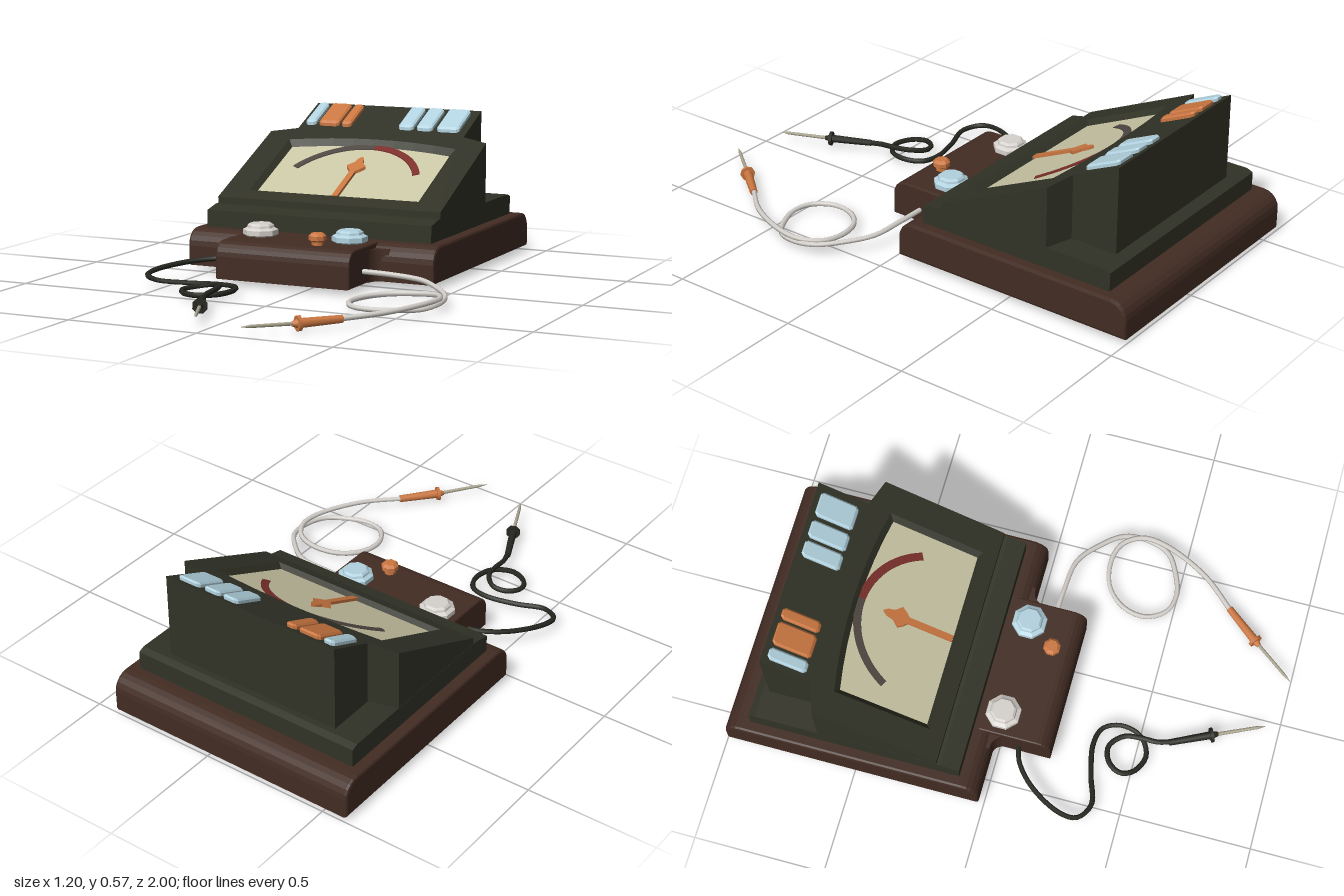
import * as THREE from 'three';

const paint = (name, color) => Object.assign(new THREE.MeshStandardMaterial({ color }), { name });
const M = {
  brown: paint('brown case', 0x422c23),
  dark: paint('dark olive housing', 0x313226),
  cream: paint('cream dial', 0xc9c5a4),
  orange: paint('orange', 0xcb7741),
  blue: paint('pale blue', 0xb2d2df),
  white: paint('off white', 0xd6d2cd),
  red: paint('dark red', 0x7b2f2b),
  grey: paint('warm grey', 0x4f4742),
  black: paint('black cable', 0x25271f),
  metal: paint('probe metal', 0xaaa58f),
};
const CX = -0.09; // centre line of the instrument
const slope = z => 0.27 + (-0.185 - z) * 0.455;

const flat = geo => {
  const g = geo.index ? geo.toNonIndexed() : geo;
  g.computeVertexNormals();
  return g;
};

// Outline given as [x, z] points seen from above
const plan = pts => new THREE.Shape(pts.map(([x, z]) => new THREE.Vector2(x, -z)));

// Extrudes a plan outline upwards from y = 0
const raise = (shape, depth, opts = {}) =>
  new THREE.ExtrudeGeometry(shape, { depth, bevelEnabled: false, curveSegments: 8, ...opts }).rotateX(-Math.PI / 2);

// Moves each vertex of a geometry by a rule
function warp(geo, rule) {
  const p = geo.attributes.position, v = new THREE.Vector3();
  for (let i = 0; i < p.count; i++) {
    rule(v.fromBufferAttribute(p, i));
    p.setXYZ(i, v.x, v.y, v.z);
  }
  return flat(geo);
}
const onSlope = (geo, lift) => warp(geo, v => { v.y += slope(v.z) + lift; });

// Extrudes a side profile ([z, y] points) from x0 to x1
function across(pts, x0, x1, bevel) {
  const s = new THREE.Shape(pts.map(([z, y]) => new THREE.Vector2(-z, y)));
  return new THREE.ExtrudeGeometry(s, {
    depth: x1 - x0 - 2 * bevel, bevelEnabled: bevel > 0, bevelSize: bevel,
    bevelThickness: bevel, bevelOffset: -bevel, bevelSegments: 2,
  }).rotateY(Math.PI / 2).translate(x0 + bevel, 0, 0);
}

// Block profile with rounded top edges at back and front
function roundedProfile(back, front, y0, y1, r) {
  const pts = [[back, y0], [front, y0]];
  for (let i = 0; i <= 5; i++) {
    const a = i / 5 * Math.PI / 2;
    pts.push([front - r + r * Math.cos(a), y1 - r + r * Math.sin(a)]);
  }
  for (let i = 0; i <= 5; i++) {
    const a = Math.PI / 2 * (1 + i / 5);
    pts.push([back + r + r * Math.cos(a), y1 - r + r * Math.sin(a)]);
  }
  return pts.reverse();
}

export function createModel() {
  const root = new THREE.Group();
  const add = (name, geo, mat, parent = root) => {
    const m = new THREE.Mesh(geo, mat);
    m.name = name;
    parent.add(m);
    return m;
  };

  // Base with a narrower control shelf in front
  add('base', across(roundedProfile(-1, -0.02, 0.025, 0.165, 0.065), -0.6, 0.42, 0.01), M.brown);
  add('controlShelf', across(roundedProfile(-0.3, 0.195, 0.025, 0.165, 0.055), -0.365, 0.18, 0.006), M.brown);
  for (const s of [-1, 1]) {
    const x = CX + s * 0.27, f = new THREE.Shape();
    f.moveTo(x, 0.08);
    f.lineTo(x + s * 0.06, 0.08);
    f.lineTo(x + s * 0.06, 0.025);
    f.quadraticCurveTo(x + s * 0.004, 0.025, x, -0.03);
    add('shelfFillet', raise(f, 0.12).translate(0, 0.025, 0), M.brown);
  }

  // Low plinth under the housing
  add('plinth', across([[-0.905, 0.16], [-0.905, 0.235], [-0.88, 0.245], [-0.17, 0.245],
    [-0.10, 0.23], [-0.10, 0.16]], -0.558, 0.377, 0), M.dark);

  // Sloping housing with a tapered dial opening
  const opening = [];
  for (let i = 0; i <= 8; i++) {
    const t = i / 4 - 1;
    opening.push([CX + t * 0.36, -0.59 - 0.033 * (1 - t * t)]);
  }
  opening.push([CX + 0.36, -0.24], [CX - 0.36, -0.24]);
  const half = [[0.467, -0.185], [0.467, -0.64], [0.36, -0.672], [0.36, -0.857]];
  const housing = plan([...half.map(([x, z]) => [CX + x, z]),
    ...half.map(([x, z]) => [CX - x, z]).reverse()]);
  housing.holes.push(new THREE.Path(opening.map(([x, z]) => new THREE.Vector2(x, -z))));
  const narrow = (v, kx, kz) => {
    v.x = CX + (v.x - CX) * kx;
    v.z = -0.42 + (v.z + 0.42) * kz;
  };
  add('housing', warp(raise(housing, 1), v => {
    const inHole = Math.abs(v.x - CX) < 0.365 && v.z > -0.63 && v.z < -0.2;
    if (v.y > 0.5) v.y = slope(v.z);
    else if (inHole) {
      narrow(v, 0.94, 0.91);
      v.y = slope(v.z) - 0.024;
    } else v.y = 0.2;
  }), M.dark);

  // Dial face
  const face = raise(plan(opening), 0.006);
  warp(face, v => narrow(v, 0.95, 0.92));
  add('dialFace', onSlope(face, -0.028), M.cream);

  // Curved scale, grey on the low side and red on the high side
  const band = (a0, a1) => {
    const s = new THREE.Shape();
    s.absarc(CX, 0.312, 0.302, a0, a1, true);
    s.absarc(CX, 0.312, 0.274, a1, a0, false);
    return onSlope(raise(s, 0.004, { curveSegments: 20 }), -0.021);
  };
  const lo = Math.PI / 2 + 1.11, mid = Math.PI / 2 - 0.05, hi = Math.PI / 2 - 1.11;
  add('lowScale', band(lo, mid), M.grey);
  add('highScale', band(mid, hi), M.red);

  // Needle with a spade tip
  const needle = [[0.012, -0.255], [0.012, -0.42], [0.025, -0.432], [0.04, -0.452], [0.018, -0.475], [0.012, -0.5]];
  add('needle', onSlope(raise(plan([...needle.map(([x, z]) => [CX + x, z]), [CX, -0.515],
    ...needle.map(([x, z]) => [CX - x, z]).reverse()]), 0.012), -0.018), M.orange);

  // Chamfered push buttons along the top
  for (const [x0, x1, mat] of [[-0.43, -0.385, M.blue], [-0.372, -0.283, M.orange], [-0.272, -0.229, M.orange],
    [-0.022, 0.042, M.blue], [0.056, 0.124, M.blue], [0.143, 0.237, M.blue]]) {
    const c = 0.01, z0 = -0.835, z1 = -0.697;
    const s = plan([[x0 + c, z1], [x1 - c, z1], [x1, z1 - c], [x1, z0 + c],
      [x1 - c, z0], [x0 + c, z0], [x0, z0 + c], [x0, z1 - c]]);
    const g = raise(s, 0.02, { bevelEnabled: true, bevelSize: 0.007, bevelThickness: 0.007, bevelOffset: -0.007, bevelSegments: 1 });
    add('button', onSlope(g, -0.008), mat);
  }

  // Eight-sided knobs on the shelf
  const knob = (name, x, z, mat, profile) => add(name,
    flat(new THREE.LatheGeometry(profile.map(p => new THREE.Vector2(...p)), 8, Math.PI / 8)).translate(x, 0.162, z), mat);
  const wide = [[0.056, 0], [0.067, 0.008], [0.067, 0.026], [0.052, 0.034], [0.05, 0.042], [0.042, 0.049], [0, 0.049]];
  knob('whiteKnob', -0.28, -0.008, M.white, wide);
  knob('blueKnob', 0.09, -0.008, M.blue, wide);
  knob('orangeKnob', 0.01, 0.1, M.orange,
    [[0.022, 0], [0.022, 0.015], [0.033, 0.022], [0.033, 0.038], [0.022, 0.048], [0, 0.048]]);

  // Test leads: cable, handle, collar and pointed tip
  const up = new THREE.Vector3(0, 1, 0);
  const rod = (name, a, b, r0, r1, mat, parent) => {
    const d = b.clone().sub(a);
    const m = add(name, new THREE.CylinderGeometry(r1, r0, d.length(), 8), mat, parent);
    m.position.copy(a).addScaledVector(d, 0.5);
    m.quaternion.setFromUnitVectors(up, d.normalize());
  };
  function lead(name, path, cableMat, gripMat, grip, collar, tip, r) {
    const g = new THREE.Group();
    g.name = name;
    root.add(g);
    const curve = new THREE.CatmullRomCurve3(path.map(p => new THREE.Vector3(...p)));
    add('cable', new THREE.TubeGeometry(curve, 90, 0.01, 6), cableMat, g);
    const [a, b, c] = [grip, collar, tip].map(p => new THREE.Vector3(...p));
    const dir = b.clone().sub(a).normalize();
    rod('handle', a, b, r * 0.8, r, gripMat, g);
    rod('collar', b.clone().addScaledVector(dir, -0.006), b.clone().addScaledVector(dir, 0.006), 0.028, 0.028, gripMat, g);
    rod('handleNose', b, b.clone().addScaledVector(dir, 0.025), r, 0.008, gripMat, g);
    rod('tip', b, b.clone().lerp(c, 0.85), 0.007, 0.006, M.metal, g);
    rod('tipPoint', b.clone().lerp(c, 0.85), c, 0.006, 0.001, M.metal, g);
  }
  lead('blackLead', [[-0.35, 0.08, 0.07], [-0.42, 0.08, 0.09], [-0.5, 0.073, 0.16], [-0.565, 0.06, 0.28],
    [-0.565, 0.05, 0.35], [-0.5, 0.042, 0.39], [-0.39, 0.036, 0.36], [-0.27, 0.036, 0.337], [-0.2, 0.036, 0.355],
    [-0.17, 0.036, 0.42], [-0.19, 0.034, 0.5], [-0.26, 0.032, 0.54], [-0.33, 0.032, 0.51], [-0.35, 0.034, 0.46],
    [-0.32, 0.038, 0.41], [-0.265, 0.046, 0.395], [-0.215, 0.053, 0.44], [-0.203, 0.05, 0.5], [-0.2, 0.045, 0.57],
    [-0.18, 0.042, 0.63]], M.black, M.black, [-0.19, 0.042, 0.61], [-0.12, 0.045, 0.758], [-0.035, 0.05, 0.945], 0.015);
  lead('whiteLead', [[0.16, 0.075, 0.07], [0.29, 0.073, 0.075], [0.42, 0.066, 0.092], [0.51, 0.056, 0.16],
    [0.575, 0.046, 0.24], [0.588, 0.036, 0.33], [0.56, 0.03, 0.42], [0.49, 0.03, 0.467], [0.4, 0.03, 0.495],
    [0.325, 0.03, 0.475], [0.28, 0.031, 0.4], [0.295, 0.033, 0.31], [0.36, 0.037, 0.24], [0.46, 0.042, 0.217],
    [0.54, 0.048, 0.24], [0.585, 0.052, 0.31], [0.58, 0.052, 0.4], [0.5, 0.044, 0.58], [0.38, 0.036, 0.72]],
    M.white, M.orange, [0.395, 0.036, 0.705], [0.293, 0.035, 0.83], [0.165, 0.042, 0.995], 0.018);

  return root;
}
